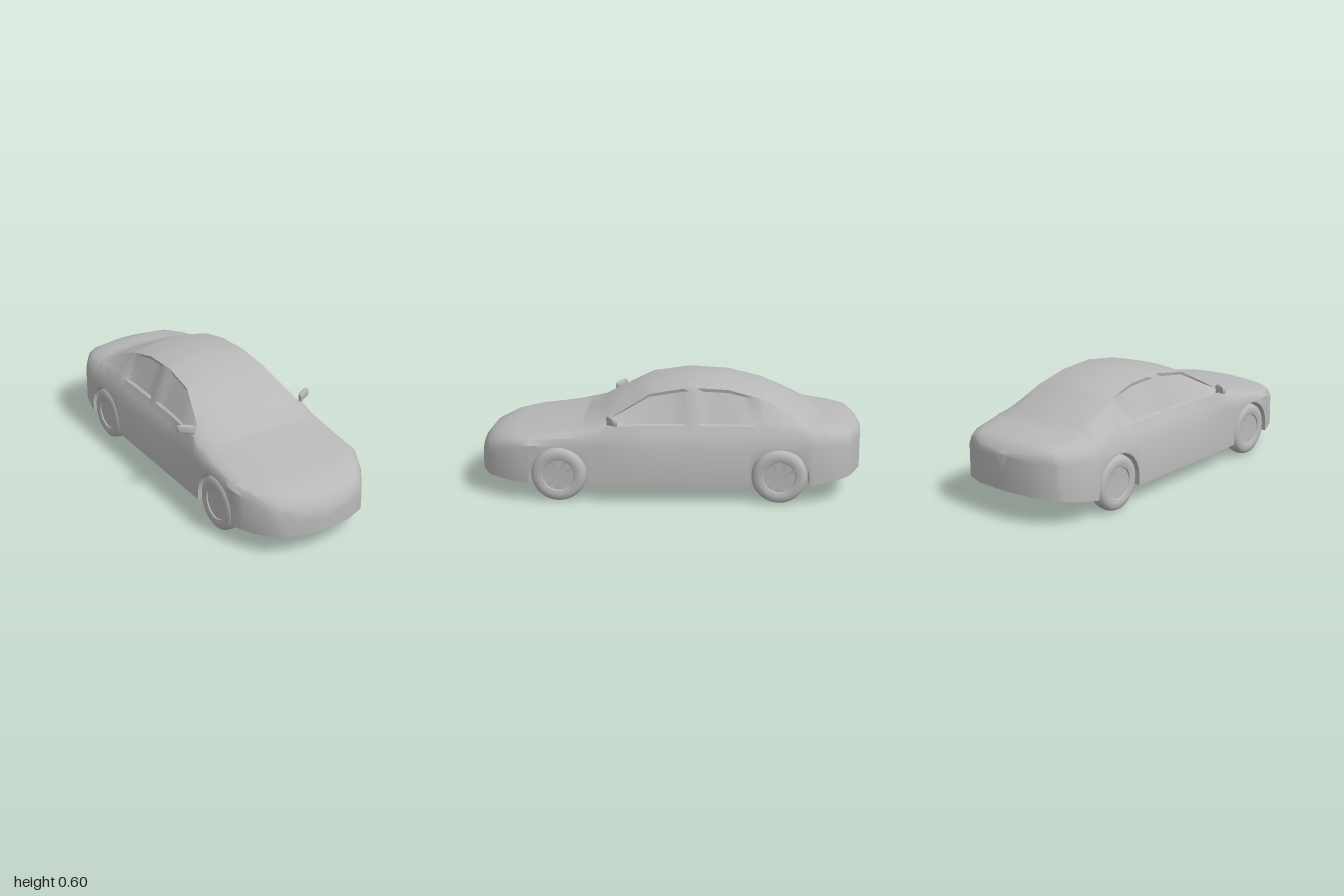
import * as THREE from 'three';
import { toCreasedNormals } from 'three/addons/utils/BufferGeometryUtils.js';

const grey = new THREE.MeshStandardMaterial({ color: 0xb8b8b8 });
grey.name = 'plain grey';

const { lerp, clamp } = THREE.MathUtils;
const AXLES = [0.565, -0.565];
const ARCH = 0.152, HUB_Y = 0.142;

// Piecewise curve along z, given as [z, value] pairs from nose to tail
const along = (pairs) => (z) => {
  for (let i = 1; i < pairs.length; i++) {
    const [z0, v0] = pairs[i - 1], [z1, v1] = pairs[i];
    if (z >= z1) return lerp(v0, v1, clamp((z0 - z) / (z0 - z1), 0, 1));
  }
  return pairs[pairs.length - 1][1];
};

const halfWidth = along([[1, 0.03], [0.985, 0.14], [0.94, 0.25], [0.84, 0.32], [0.72, 0.37],
  [-0.73, 0.37], [-0.84, 0.345], [-0.93, 0.29], [-0.985, 0.17], [-1, 0.04]]);
const floorY = along([[1, 0.11], [0.72, 0.098], [0.41, 0.09], [-0.43, 0.09], [-0.72, 0.1], [-1, 0.147]]);
const sideTop = along([[1, 0.18], [0.94, 0.21], [0.84, 0.265], [0.72, 0.3], [-0.73, 0.305], [-1, 0.31]]);
const centreTop = along([[1, 0.2], [0.985, 0.25], [0.94, 0.305], [0.84, 0.34], [0.6, 0.372], [0.445, 0.393],
  [0.37, 0.43], [0.29, 0.48], [0.14, 0.55], [0, 0.585], [-0.15, 0.6], [-0.3, 0.59],
  [-0.475, 0.55], [-0.6, 0.49], [-0.76, 0.41], [-0.9, 0.397], [-0.96, 0.378], [-1, 0.33]]);
// Line of the hood edge, windscreen pillar, roof rail, rear pillar and boot edge
const railX = along([[1, 0.015], [0.985, 0.09], [0.94, 0.18], [0.84, 0.24], [0.72, 0.28], [0.5, 0.31],
  [0.37, 0.32], [0.25, 0.285], [0.1, 0.24], [-0.1, 0.228], [-0.3, 0.226], [-0.475, 0.235],
  [-0.6, 0.25], [-0.71, 0.275], [-0.85, 0.26], [-0.93, 0.22], [-0.98, 0.14], [-1, 0.02]]);
const railY = along([[1, 0.195], [0.985, 0.235], [0.94, 0.285], [0.84, 0.325], [0.72, 0.34], [0.5, 0.365],
  [0.37, 0.39], [0.25, 0.46], [0.1, 0.545], [-0.1, 0.577], [-0.3, 0.566], [-0.475, 0.522],
  [-0.6, 0.465], [-0.71, 0.405], [-0.85, 0.387], [-0.93, 0.376], [-0.98, 0.352], [-1, 0.325]]);
// Depth of the side windows, with a pillar between them
const recess = along([[0.32, 0], [0.25, 0.012], [-0.07, 0.012], [-0.1, 0], [-0.14, 0], [-0.17, 0.012],
  [-0.38, 0.012], [-0.475, 0]]);

// One full cross-section, counterclockwise seen from the front
function section(z) {
  const w = halfWidth(z), fy = floorY(z), s = sideTop(z);
  const rx = railX(z), ry = railY(z), top = centreTop(z);
  const wellX = Math.min(0.27, w * 0.9);
  let archY = fy;
  for (const a of AXLES) {
    const d = Math.abs(z - a);
    if (d <= ARCH + 1e-6) archY = HUB_Y + Math.sqrt(Math.max(0, ARCH * ARCH - d * d));
  }
  const h = ry - s, dx = w - rx;
  const cabin = clamp((ry - 0.38) / 0.1, 0, 1), inset = recess(z);
  const sill = [w - lerp(0.6, 0.37, cabin) * dx, Math.min(0.4, s + 0.85 * h)];
  const half = [
    [0, fy], [wellX, fy], [wellX, archY], [w, archY], [w, s],
    [w - 0.23 * dx, Math.min(0.36, s + 0.6 * h)], sill,
    [lerp(sill[0], rx, 0.04) - inset, lerp(sill[1], ry, 0.04)],
    [lerp(sill[0], rx, 0.9) - inset, lerp(sill[1], ry, 0.9)],
    [rx, ry],
  ];
  for (const u of [0.8, 0.55, 0.28, 0]) half.push([rx * u, top - (top - ry) * u * u]);
  const other = half.slice(1, -1).reverse().map(([x, y]) => [-x, y]);
  return [...half, ...other].map(([x, y]) => [x, y, z]);
}

// Body shell lofted through sections, with open wheel wells
function bodyGeometry() {
  const zs = [-1, -0.985, -0.96, -0.93, -0.9, -0.84, -0.8, -0.76, -0.73, -0.65, -0.6, -0.53, -0.475, -0.42,
    -0.38, -0.3, -0.23, -0.17, -0.14, -0.1, -0.07, 0, 0.05, 0.1, 0.14, 0.2, 0.25, 0.29, 0.32, 0.37,
    0.41, 0.445, 0.5, 0.6, 0.72, 0.78, 0.84, 0.89, 0.94, 0.965, 0.985, 1];
  for (const a of AXLES) {
    for (let i = 0; i <= 16; i++) zs.push(a + ARCH * Math.cos((i * Math.PI) / 16));
    zs.push(a - ARCH - 0.001, a + ARCH + 0.001);
  }
  zs.sort((a, b) => a - b);
  const rings = zs.map(section), n = rings[0].length;
  const positions = rings.flat(2), index = [];
  for (let i = 0; i < rings.length - 1; i++) {
    for (let j = 0; j < n; j++) {
      const k = (j + 1) % n, a = i * n, b = a + n;
      index.push(a + j, a + k, b + k, a + j, b + k, b + j);
    }
  }
  // Small caps at tail and nose
  const tail = rings.length * n, nose = tail + 1, last = tail - n;
  positions.push(0, 0.22, -1, 0, 0.16, 1);
  for (let j = 0; j < n; j++) {
    const k = (j + 1) % n;
    index.push(tail, k, j, nose, last + j, last + k);
  }
  const g = new THREE.BufferGeometry();
  g.setAttribute('position', new THREE.Float32BufferAttribute(positions, 3));
  g.setIndex(index);
  return toCreasedNormals(g, 0.6);
}

// Tyre and recessed rim turned as one profile
function wheelGeometry() {
  const side = [[0, 0.031], [0.08, 0.031], [0.083, 0.037], [0.1, 0.042], [0.122, 0.04], [0.136, 0.03], [0.142, 0.01]];
  const profile = [
    ...side.map(([r, y]) => new THREE.Vector2(r, -y)),
    ...side.reverse().map(([r, y]) => new THREE.Vector2(r, y)),
  ];
  return toCreasedNormals(new THREE.LatheGeometry(profile, 28).rotateZ(-Math.PI / 2), 0.7);
}

// Swept-back door mirror with a short arm
function mirrorGeometry(side) {
  const outline = [[0.312, 0.395], [0.335, 0.405], [0.35, 0.412], [0.375, 0.413], [0.396, 0.417], [0.401, 0.425],
    [0.4, 0.446], [0.393, 0.453], [0.365, 0.455], [0.33, 0.451], [0.321, 0.444], [0.32, 0.43], [0.325, 0.416]];
  const shape = new THREE.Shape(outline.map(([x, y]) => new THREE.Vector2(side * x, y)));
  const g = new THREE.ExtrudeGeometry(shape, {
    depth: 0.014, bevelEnabled: true, bevelThickness: 0.006, bevelSize: 0.005, bevelOffset: -0.005, bevelSegments: 2,
  });
  const p = g.attributes.position;
  for (let i = 0; i < p.count; i++) p.setZ(i, p.getZ(i) + 0.29 - (Math.abs(p.getX(i)) - 0.34) * 0.5);
  return toCreasedNormals(g, 0.8);
}

export function createModel() {
  const car = new THREE.Group();
  car.name = 'car';
  const add = (name, geometry) => {
    const mesh = new THREE.Mesh(geometry, grey);
    mesh.name = name;
    car.add(mesh);
    return mesh;
  };
  add('body', bodyGeometry());
  const wheel = wheelGeometry();
  for (const side of [1, -1]) {
    const label = side > 0 ? 'left' : 'right';
    AXLES.forEach((z, i) => {
      add(`${label}${i ? 'Rear' : 'Front'}Wheel`, wheel).position.set(side * 0.327, HUB_Y, z);
    });
    add(`${label}Mirror`, mirrorGeometry(side));
  }
  return car;
}
